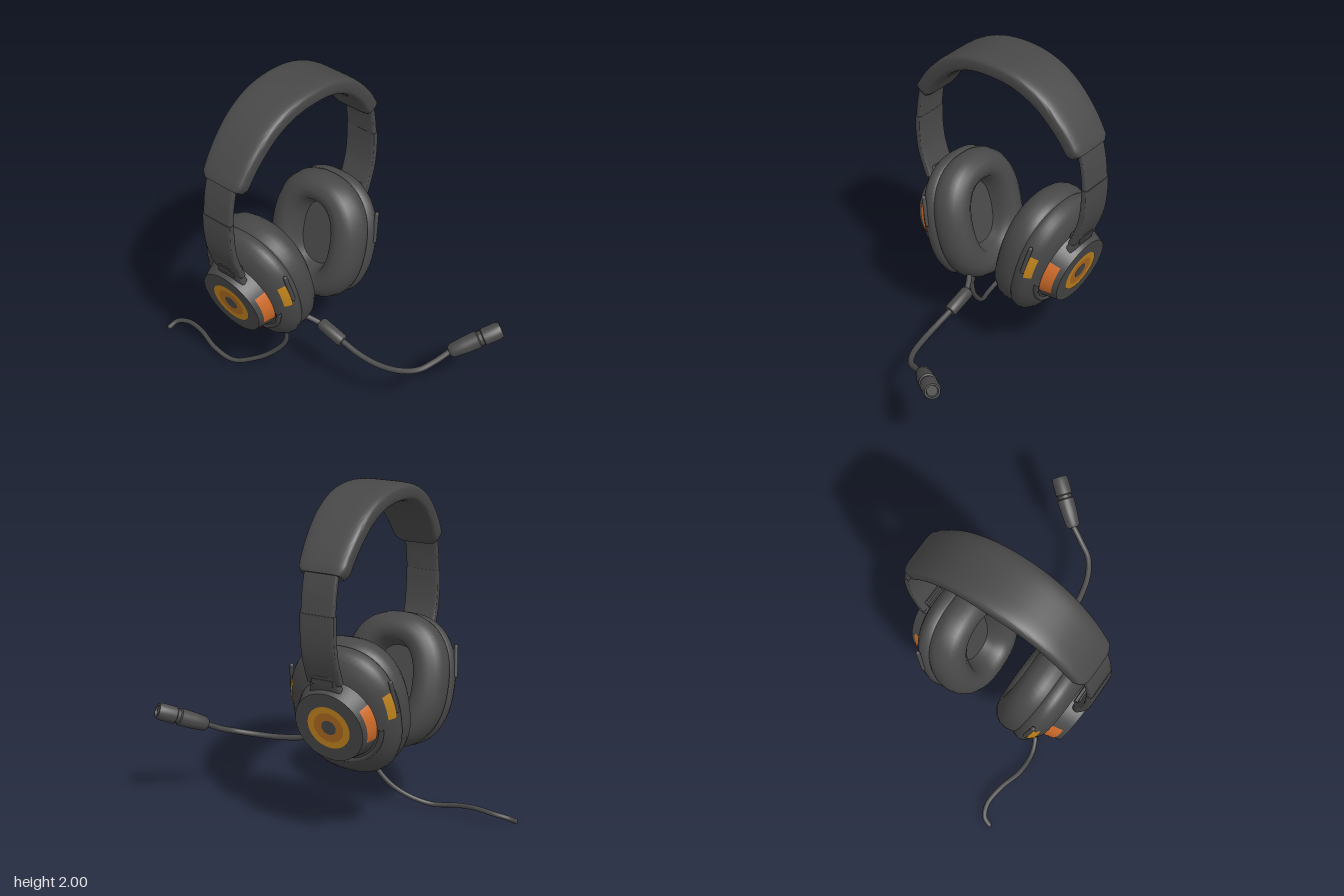
import * as THREE from 'three';
import { toCreasedNormals } from 'three/addons/utils/BufferGeometryUtils.js';

const V = (x, y, z = 0) => new THREE.Vector3(x, y, z);
const material = (name, color) => Object.assign(new THREE.MeshStandardMaterial({ color }), { name });

// Point on a superellipse with half sizes a (cos) and b (sin)
function superPoint(t, a, b, power) {
  const f = (k) => Math.sign(k) * Math.pow(Math.abs(k), 2 / power);
  return [a * f(Math.cos(t)), b * f(Math.sin(t))];
}

// Skin a list of rings (arrays of Vector3); closed rings wrap around
function loft(rings, closed = true, crease = 0.75) {
  const n = rings[0].length, pos = [], idx = [];
  rings.forEach((r) => r.forEach((p) => pos.push(p.x, p.y, p.z)));
  for (let i = 0; i < rings.length - 1; i++) {
    for (let j = 0; j < (closed ? n : n - 1); j++) {
      const k = (j + 1) % n;
      const a = i * n + j, b = i * n + k, c = a + n, d = b + n;
      idx.push(a, c, b, b, c, d);
    }
  }
  const g = new THREE.BufferGeometry();
  g.setAttribute('position', new THREE.Float32BufferAttribute(pos, 3));
  g.setIndex(idx);
  return toCreasedNormals(g, crease);
}

// Flat strap swept along a path in the XY plane, width along z
function strap(points, halfThick, halfWidth, { steps = 24, power = 5, sides = 32, z = 0, roundEnd = 0 } = {}) {
  const curve = new THREE.CatmullRomCurve3(points.map(([x, y]) => V(x, y, z)));
  const rings = [];
  const add = (s, scale) => {
    const p = curve.getPointAt(s), t = curve.getTangentAt(s);
    const ring = [];
    for (let j = 0; j < sides; j++) {
      const [w, h] = superPoint((j / sides) * Math.PI * 2, halfWidth(s) * scale, halfThick * scale, power);
      ring.push(V(p.x - t.y * h, p.y + t.x * h, p.z + w));
    }
    rings.push(ring);
  };
  add(0, 0);
  if (roundEnd) add(0, roundEnd);
  for (let i = roundEnd ? 1 : 0; i <= steps - (roundEnd ? 1 : 0); i++) add(i / steps, 1);
  if (roundEnd) add(1, roundEnd);
  add(1, 0);
  return loft(rings);
}

// Ear cup profile: [outward position, half depth, half height]
const CUP = [
  [-0.28, 0, 0], [-0.28, 0.13, 0.2], [-0.33, 0.14, 0.22], [-0.385, 0.16, 0.24], [-0.408, 0.195, 0.275],
  [-0.41, 0.225, 0.305], [-0.4, 0.265, 0.338], [-0.375, 0.3, 0.367], [-0.335, 0.325, 0.388],
  [-0.285, 0.333, 0.396], [-0.25, 0.327, 0.388], [-0.238, 0.32, 0.38], [-0.225, 0.33, 0.39],
  [-0.19, 0.336, 0.392], [-0.165, 0.328, 0.382], [-0.135, 0.3, 0.35], [-0.1, 0.255, 0.29], [-0.09, 0, 0],
];
function cupRing([u, w, v], t0 = 0, t1 = Math.PI * 2, n = 56, closed = true) {
  return Array.from({ length: n }, (_, j) => {
    const t = t0 + ((t1 - t0) * j) / (closed ? n : n - 1);
    const [z, y] = superPoint(t, w, v, 2.35);
    return V(u, y, z);
  });
}

export function createModel() {
  const model = new THREE.Group();
  model.name = 'headset';
  const grey = material('charcoal', 0x484848);
  const orange = material('orange', 0xd06c2a);
  const amber = material('amber', 0xc4861e);
  const copper = material('copper', 0xb06c22);

  const add = (parent, name, geometry, mat = grey) => {
    const mesh = new THREE.Mesh(geometry, mat);
    mesh.name = name;
    parent.add(mesh);
    return mesh;
  };

  // Padded headband
  const half = [[0.17, 1.925], [0.32, 1.853], [0.455, 1.725], [0.553, 1.583]];
  const arch = [...half.map(([x, y]) => [-x, y]).reverse(), [0, 1.946], ...half];
  add(model, 'headband', strap(arch, 0.053, (s) => 0.176 - 0.034 * Math.abs(2 * s - 1) ** 1.6,
    { steps: 48, power: 4.5, sides: 48, roundEnd: 0.86 })).position.z = -0.233;

  // Both sides: slider, yoke and ear cup
  for (const s of [1, -1]) {
    const side = new THREE.Group();
    side.name = s > 0 ? 'leftSide' : 'rightSide';
    side.position.z = -0.25;
    side.rotation.y = s > 0 ? 0 : Math.PI;
    model.add(side);
    const z = 0.015 * s;

    add(side, 'upperSlider', strap([[0.56, 1.62], [0.588, 1.5], [0.603, 1.38]], 0.018, () => 0.102, { z, power: 8 }));
    add(side, 'lowerSlider', strap([[0.604, 1.385], [0.604, 1.28], [0.59, 1.16], [0.555, 1.05], [0.53, 0.99]],
      0.021, () => 0.106, { z, power: 8 }));
    add(side, 'yoke', strap([[0.548, 1.04], [0.528, 0.975], [0.5, 0.9]], 0.026, (t) => 0.068 + 0.045 * t, { z, steps: 8 }));
    const clip = add(side, 'hingeClip', new THREE.BoxGeometry(0.07, 0.035, 0.13));
    clip.position.set(0.532, 1.005, z);
    clip.rotation.z = -0.25;

    const cup = new THREE.Group();
    cup.name = 'earCup';
    cup.position.set(0.52, 0.73, 0);
    cup.rotation.z = -0.244;
    side.add(cup);
    add(cup, 'cushionAndShell', loft(CUP.map((r) => cupRing(r))));

    // Tapered hub with a lip under it
    const turn = (g) => g.rotateZ(-Math.PI / 2);
    add(cup, 'hub', turn(new THREE.CylinderGeometry(0.211, 0.252, 0.13, 56))).position.x = -0.065;
    const arc = Math.PI * 0.95;
    add(cup, 'shellLip', new THREE.TorusGeometry(0.268, 0.016, 8, 40, arc)
      .rotateZ(-Math.PI / 2 - arc / 2).rotateY(Math.PI / 2)).position.x = -0.105;

    // Target rings on the hub face
    const ring = (name, r0, r1, mat) => {
      add(cup, name, new THREE.RingGeometry(r0, r1, 48).rotateY(Math.PI / 2), mat).position.x = 0.003;
    };
    ring('outerRing', 0.092, 0.131, amber);
    ring('innerRing', 0.045, 0.092, copper);

    // Front and back accents on hub and shell
    for (const f of [1, -1]) {
      const start = f > 0 ? -0.56 : Math.PI - 0.35;
      add(cup, 'hubPanel', turn(new THREE.CylinderGeometry(0.223, 0.25, 0.085, 12, 1, true, start, 0.91)), orange)
        .position.x = -0.073;
      const t = f > 0 ? [0.05, 0.42] : [Math.PI - 0.42, Math.PI - 0.05];
      const strip = [[-0.172, 0.337, 0.39], [-0.161, 0.331, 0.384], [-0.132, 0.303, 0.353]];
      add(cup, 'shellStrip', loft(strip.map((r) => cupRing(r, t[0], t[1], 12, false)), false), amber);
      const bar = add(cup, 'shellBar', new THREE.CapsuleGeometry(0.013, 0.17, 4, 10));
      bar.position.set(-0.185, 0.15, f * 0.322);
      bar.rotation.x = -f * 0.12;
    }
  }

  const tube = (name, pts, r) => {
    const curve = new THREE.CatmullRomCurve3(pts.map((p) => V(...p)));
    add(model, name, new THREE.TubeGeometry(curve, 64, r, 12));
  };
  // Turned part between two points; profile is [radius, fraction of length]
  const turned = (name, a, b, profile) => {
    const dir = b.clone().sub(a), len = dir.length();
    const g = new THREE.LatheGeometry(profile.map(([r, h]) => new THREE.Vector2(r, h * len)), 28);
    const mesh = add(model, name, toCreasedNormals(g, 0.6));
    mesh.position.copy(a);
    mesh.quaternion.setFromUnitVectors(V(0, 1, 0), dir.normalize());
  };

  // Microphone boom
  tube('boomStem', [[-0.15, 0.52, -0.06], [-0.11, 0.485, 0], [-0.08, 0.455, 0.06]], 0.017);
  turned('boomConnector', V(-0.077, 0.458, 0.045), V(-0.075, 0.408, 0.215),
    [[0, 0], [0.033, 0], [0.039, 0.06], [0.039, 0.92], [0.031, 1], [0, 1]]);
  tube('boom', [[-0.075, 0.412, 0.2], [-0.073, 0.38, 0.34], [-0.058, 0.367, 0.47], [-0.02, 0.373, 0.6],
    [0.04, 0.393, 0.69], [0.12, 0.425, 0.737], [0.23, 0.485, 0.79]], 0.018);
  turned('microphone', V(0.21, 0.472, 0.778), V(0.447, 0.597, 0.965),
    [[0, 0], [0.03, 0], [0.044, 0.06], [0.05, 0.3], [0.053, 0.56], [0.044, 0.58], [0.044, 0.64],
      [0.052, 0.66], [0.052, 0.93], [0.044, 1], [0.034, 1], [0.03, 0.97], [0, 0.97]]);

  // Cable with its strain relief
  turned('cableSocket', V(-0.195, 0.365, -0.125), V(-0.197, 0.43, -0.12),
    [[0, 0], [0.019, 0], [0.027, 0.3], [0.027, 1], [0, 1]]);
  tube('cable', [[-0.195, 0.39, -0.125], [-0.19, 0.28, -0.14], [-0.215, 0.16, -0.225], [-0.265, 0.078, -0.33],
    [-0.325, 0.028, -0.46], [-0.335, 0.048, -0.61], [-0.298, 0.073, -0.76], [-0.285, 0.066, -0.89],
    [-0.315, 0.045, -0.965], [-0.36, 0.016, -0.985]], 0.015);
  const tip = add(model, 'cableTip', new THREE.SphereGeometry(0.016, 14, 10));
  tip.position.set(-0.36, 0.016, -0.985);

  return model;
}
